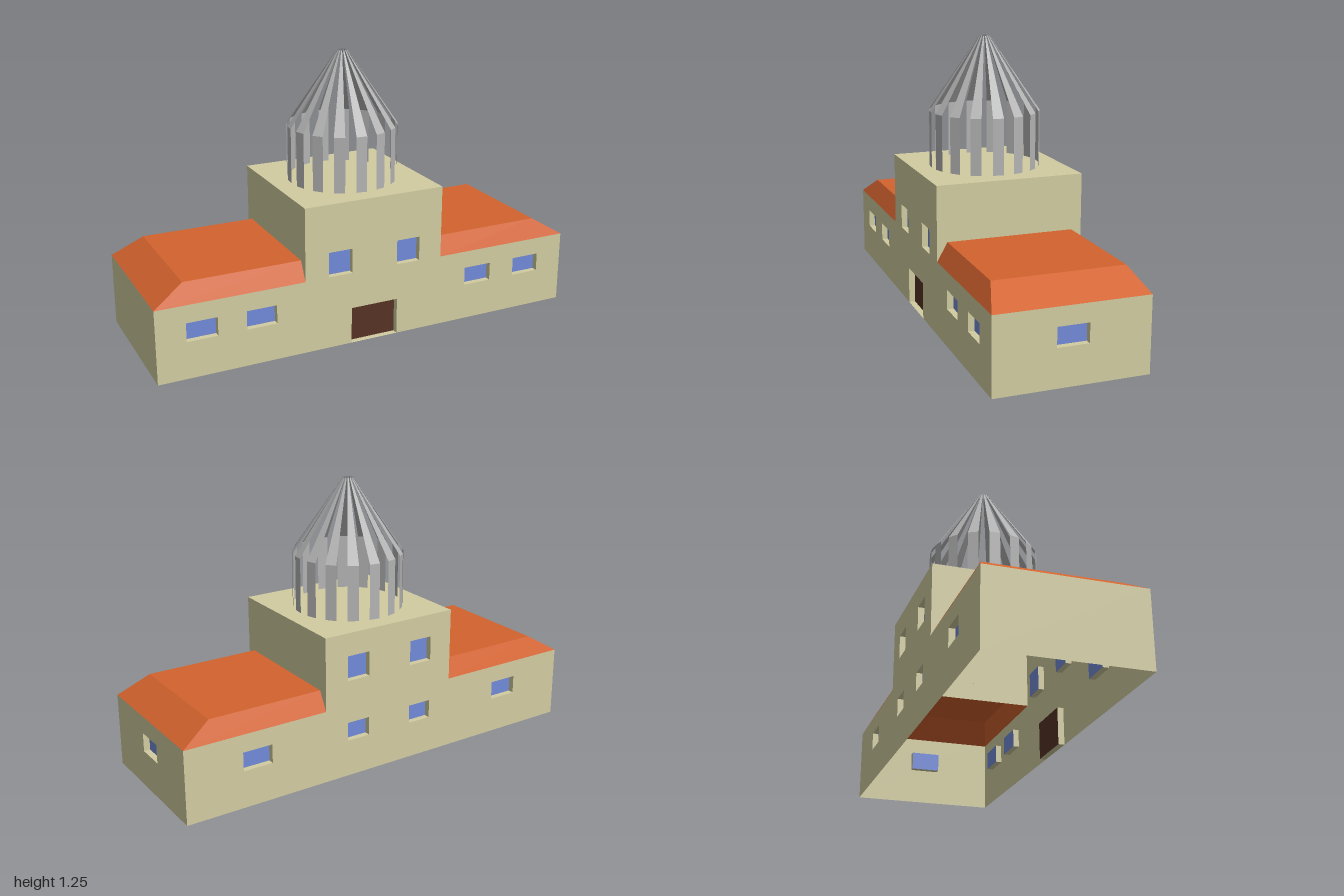
import * as THREE from 'three';

const mat = (name, color) => new THREE.MeshStandardMaterial({ name, color, side: THREE.DoubleSide });

export function createModel() {
  const cream = mat('cream wall', 0xd2cca1);
  const orange = mat('orange roof tile', 0xd2622d);
  const blue = mat('blue glass', 0x718ad8);
  const brown = mat('brown door', 0x553324);
  const grey = mat('grey metal', 0xb4b4b4);
  grey.flatShading = true;

  const D = 1 / 3;          // half depth, wing height and half tower width
  const TOP = 2 / 3;        // tower height
  const RECESS = 0.028;     // depth of windows and door

  const model = new THREE.Group();
  model.name = 'domedHouse';
  const add = (parent, name, geometry, material) => {
    const mesh = new THREE.Mesh(geometry, material);
    mesh.name = name;
    parent.add(mesh);
    return mesh;
  };

  // A wall facing +z, pierced by recessed openings [x, y, w, h] (x, y = centre)
  const wall = (name, outline, windows, door) => {
    const group = new THREE.Group();
    group.name = name;
    const shape = new THREE.Shape(outline.map(([x, y]) => new THREE.Vector2(x, y)));
    const recess = (label, [x, y, w, h], material) => {
      const jamb = new THREE.BoxGeometry(w, h, RECESS);
      jamb.setIndex(Array.from(jamb.index.array).slice(0, 24)); // four sides only
      jamb.clearGroups();
      add(group, label + 'Jamb', jamb, cream).position.set(x, y, -RECESS / 2);
      add(group, label, new THREE.PlaneGeometry(w, h), material).position.set(x, y, -RECESS);
    };
    for (const o of windows) {
      const [x, y, w, h] = o;
      shape.holes.push(new THREE.Path([[-1, -1], [-1, 1], [1, 1], [1, -1]]
        .map(([i, j]) => new THREE.Vector2(x + i * w / 2, y + j * h / 2))));
      recess('window', o, blue);
    }
    if (door) recess('door', door, brown);
    add(group, name + 'Panel', new THREE.ShapeGeometry(shape), cream);
    model.add(group);
    return group;
  };

  // Long walls: low wings with the tower face rising in the middle
  const upper = [[1, 0], [1, D], [D, D], [D, TOP], [-D, TOP], [-D, D], [-1, D], [-1, 0]];
  const doorW = 0.226, doorH = 0.168;
  const notch = [[-doorW / 2, 0], [-doorW / 2, doorH], [doorW / 2, doorH], [doorW / 2, 0]];
  const pair = (x, y, w, h) => [[x, y, w, h], [-x, y, w, h]];

  wall('frontWall', [...upper, ...notch], [
    ...pair(0.535, 0.211, 0.137, 0.085),
    ...pair(0.8, 0.211, 0.137, 0.085),
    ...pair(0.166, 0.392, 0.113, 0.113),
  ], [0, doorH / 2, doorW, doorH]).position.z = D;

  const back = wall('backWall', upper, [
    ...pair(0.667, 0.211, 0.137, 0.085),
    ...pair(0.166, 0.211, 0.113, 0.085),
    ...pair(0.166, 0.506, 0.113, 0.113),
  ]);
  back.rotation.y = Math.PI;
  back.position.z = -D;

  // End walls: only the left one has a window
  for (const s of [1, -1]) {
    const end = wall(s > 0 ? 'leftEndWall' : 'rightEndWall',
      [[-D, 0], [D, 0], [D, D], [-D, D]], s > 0 ? [[0, 0.21, 0.137, 0.085]] : []);
    end.rotation.y = s * Math.PI / 2;
    end.position.x = s;
  }

  // Tower sides above the wings, and its flat roof
  for (const s of [1, -1]) {
    const side = add(model, 'towerSide', new THREE.PlaneGeometry(2 * D, TOP - D), cream);
    side.rotation.y = s * Math.PI / 2;
    side.position.set(s * D, (D + TOP) / 2, 0);
  }
  const deck = add(model, 'towerRoof', new THREE.PlaneGeometry(2 * D, 2 * D), cream);
  deck.rotation.x = -Math.PI / 2;
  deck.position.y = TOP;

  // Hipped wing roofs, open underneath and against the tower
  const Y = 0.417, X = 0.862, Z = 0.287;
  const faces = [
    [[D, D, D], [1, D, D], [X, Y, Z], [D, Y, Z]],        // front slope
    [[1, D, D], [1, D, -D], [X, Y, -Z], [X, Y, Z]],      // end slope
    [[1, D, -D], [D, D, -D], [D, Y, -Z], [X, Y, -Z]],    // back slope
    [[D, Y, Z], [X, Y, Z], [X, Y, -Z], [D, Y, -Z]],      // flat top
  ];
  const roof = new THREE.BufferGeometry();
  roof.setAttribute('position', new THREE.Float32BufferAttribute(
    faces.flatMap(([a, b, c, d]) => [a, b, c, a, c, d].flat()), 3));
  roof.computeVertexNormals();
  for (const s of [1, -1]) {
    add(model, s > 0 ? 'leftWingRoof' : 'rightWingRoof', roof, orange).rotation.y = s > 0 ? 0 : Math.PI;
  }

  // Open cage of bent slats on the tower
  const cage = new THREE.Group();
  cage.name = 'slatDome';
  const profile = [[0.25, TOP], [0.25, 0.917], [0.023, 1.25]].map(([r, y]) => new THREE.Vector2(r, y));
  const step = Math.PI / 16;
  for (let i = 0; i < 16; i++) {
    add(cage, 'slat', new THREE.LatheGeometry(profile, 1, (2 * i + 1) * step, step), grey);
  }
  model.add(cage);
  return model;
}
